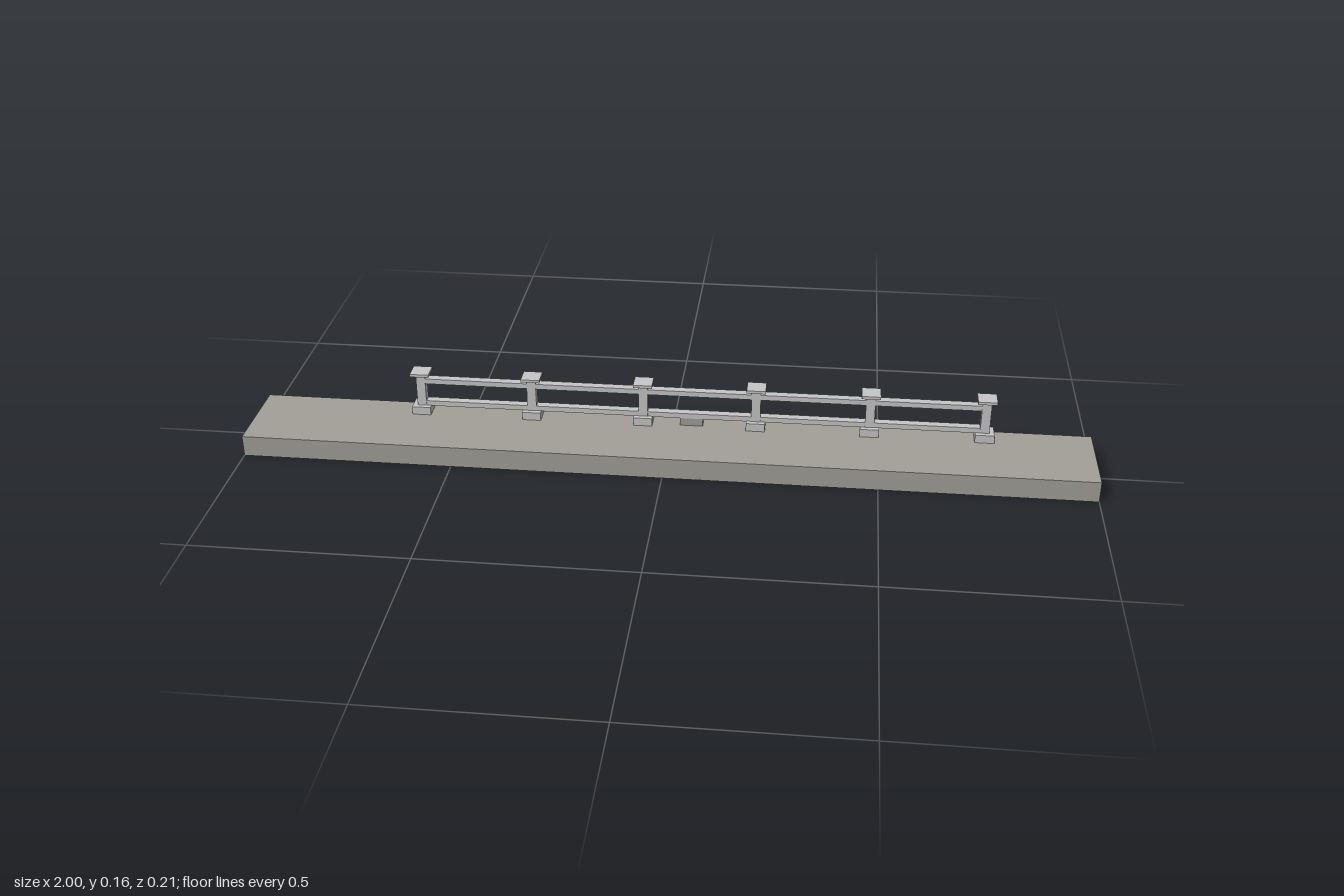
import * as THREE from 'three';

export function createModel() {
  const group = new THREE.Group();
  const makeMaterial = (name, color) => {
    const material = new THREE.MeshStandardMaterial({ color });
    material.name = name;
    return material;
  };
  const concrete = makeMaterial('warm grey concrete', 0xa2a098);
  const stone = makeMaterial('light grey stone', 0xc7c7c7);
  const dark = makeMaterial('dark underside', 0x484848);

  // Box given by its centre x and z, its bottom y, and its size
  function box(name, material, x, y, z, w, h, d, parent = group) {
    const mesh = new THREE.Mesh(new THREE.BoxGeometry(w, h, d), material);
    mesh.position.set(x, y + h / 2, z);
    mesh.name = name;
    parent.add(mesh);
  }

  const deckTop = 0.051, spacing = 0.2695, count = 6;

  // Long slab with a dark bottom face
  const deckMaterials = [concrete, concrete, concrete, dark, concrete, concrete];
  box('deck', deckMaterials, 0, 0, 0, 2, deckTop, 0.213);

  // The railing runs very slightly askew to the slab
  const railing = new THREE.Group();
  railing.name = 'railing';
  railing.position.set(0.072, 0, -0.07);
  railing.rotation.y = 0.002;
  group.add(railing);
  const start = -spacing * (count - 1) / 2;

  // Evenly spaced posts, each with plinth, shaft and cap
  for (let i = 0; i < count; i++) {
    const post = new THREE.Group();
    post.name = 'post';
    post.position.x = start + i * spacing;
    box('plinth', stone, 0, deckTop, 0, 0.045, 0.02, 0.045, post);
    box('shaft', stone, 0, 0.071, 0, 0.022, 0.081, 0.022, post);
    box('cap', stone, 0, 0.152, 0, 0.045, 0.007, 0.045, post);
    railing.add(post);
  }

  // Rails between neighbouring posts
  for (let i = 0; i < count - 1; i++) {
    const x = start + (i + 0.5) * spacing;
    box('topRail', stone, x, 0.129, 0, spacing - 0.022, 0.013, 0.02);
    railing.add(group.children.pop());
    box('bottomRail', stone, x, 0.07, 0, spacing - 0.022, 0.013, 0.02, railing);
  }

  // Small block carrying the bottom rail, and the facing on the end plinth
  box('supportBlock', concrete, -0.019, deckTop, 0, 0.055, 0.019, 0.02, railing);
  box('endFacing', concrete, -start + 0.023, deckTop, 0, 0.002, 0.013, 0.044, railing);

  return group;
}
